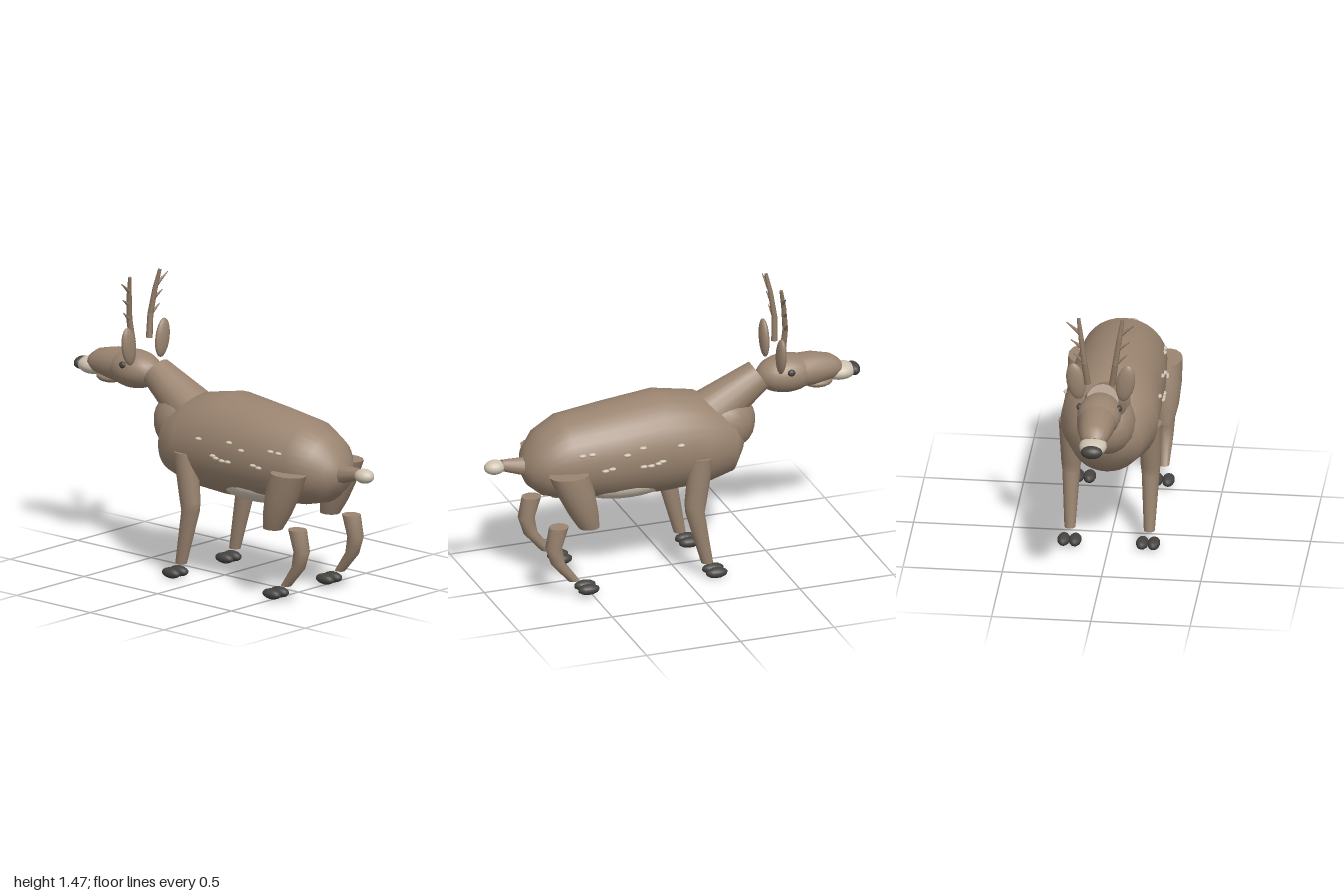
import * as THREE from 'three';

const mat = (name, color, opts = {}) => Object.assign(new THREE.MeshStandardMaterial({ color, ...opts }), { name });

// Stacked elliptical rings [y, z, rx, rz], lowest first, with flat end caps
function loft(rings, sides = 20) {
  const pos = [], idx = [];
  const addRing = ([y, z, rx, rz]) => {
    const start = pos.length / 3;
    for (let i = 0; i <= sides; i++) {
      const a = (i / sides) * Math.PI * 2;
      pos.push(Math.sin(a) * rx, y, z + Math.cos(a) * rz);
    }
    return start;
  };
  const starts = rings.map(addRing);
  for (let r = 0; r < rings.length - 1; r++) {
    for (let i = 0; i < sides; i++) {
      const a = starts[r] + i, b = starts[r + 1] + i;
      idx.push(a, a + 1, b, a + 1, b + 1, b);
    }
  }
  for (const top of [false, true]) {
    const ring = top ? rings[rings.length - 1] : rings[0];
    const s = addRing(ring), c = pos.length / 3;
    pos.push(0, ring[0], ring[1]);
    for (let i = 0; i < sides; i++) top ? idx.push(c, s + i, s + i + 1) : idx.push(c, s + i + 1, s + i);
  }
  const g = new THREE.BufferGeometry();
  g.setAttribute('position', new THREE.Float32BufferAttribute(pos, 3));
  g.setIndex(idx);
  g.computeVertexNormals();
  // Weld the shading across the seam
  const n = g.attributes.normal;
  for (const s of starts) {
    const v = new THREE.Vector3().fromBufferAttribute(n, s)
      .add(new THREE.Vector3().fromBufferAttribute(n, s + sides)).normalize();
    n.setXYZ(s, v.x, v.y, v.z);
    n.setXYZ(s + sides, v.x, v.y, v.z);
  }
  return g;
}

// Loft lying along z from profile rows [z, top, bottom, rx]
const loftZ = (rows, sides) =>
  loft(rows.map(([z, t, b, rx]) => [z, -(t + b) / 2, rx, (t - b) / 2]), sides).rotateX(Math.PI / 2);

export function createModel() {
  const model = new THREE.Group();
  model.name = 'deer';
  const fur = mat('brown fur', 0x9a8470);
  const cream = mat('cream fur', 0xcfc3b1);
  const dark = mat('dark horn', 0x454340);
  const antlerMat = mat('antler brown', 0x8f7964);

  const add = (name, geo, material, parent = model) => {
    const m = new THREE.Mesh(geo, material);
    m.name = name;
    parent.add(m);
    return m;
  };
  const ball = (name, material, [x, y, z], [rx, ry, rz], parent = model, seg = 16) => {
    const m = add(name, new THREE.SphereGeometry(1, seg, Math.ceil(seg * 0.7)), material, parent);
    m.position.set(x, y, z);
    m.scale.set(rx, ry, rz);
    return m;
  };
  const rod = (name, material, from, to, r0, r1, sides, parent = model) => {
    const a = new THREE.Vector3(...from), b = new THREE.Vector3(...to);
    const m = add(name, new THREE.CylinderGeometry(r1, r0, a.distanceTo(b), sides), material, parent);
    m.position.copy(a).lerp(b, 0.5);
    m.quaternion.setFromUnitVectors(new THREE.Vector3(0, 1, 0), b.sub(a).normalize());
    return m;
  };

  // Torso, from chest to rump
  const torso = [
    [-0.36, 0.74, 0.62, 0.06], [-0.345, 0.78, 0.58, 0.11], [-0.29, 0.84, 0.49, 0.18],
    [-0.14, 0.925, 0.455, 0.245], [0.08, 0.97, 0.44, 0.24], [0.35, 0.94, 0.455, 0.235],
    [0.59, 0.91, 0.48, 0.215], [0.71, 0.845, 0.51, 0.175], [0.775, 0.765, 0.565, 0.11],
    [0.8, 0.7, 0.62, 0.045],
  ];
  add('torso', loftZ(torso, 32), fur);
  ball('belly', cream, [0, 0.54, 0.26], [0.18, 0.1, 0.3], model, 24);
  ball('chest', fur, [0, 0.755, -0.27], [0.15, 0.16, 0.168], model, 18);

  // Neck and head
  rod('neck', fur, [0, 0.79, -0.17], [0, 0.976, -0.463], 0.132, 0.082, 16);
  ball('skull', fur, [0, 0.967, -0.61], [0.11, 0.098, 0.16], model, 20);
  add('snout', loftZ([
    [-0.9, 0.985, 0.93, 0.035], [-0.885, 1.005, 0.92, 0.055], [-0.85, 1.03, 0.905, 0.073],
    [-0.75, 1.055, 0.885, 0.09], [-0.62, 1.055, 0.885, 0.098],
  ], 16), fur);
  ball('jaw', fur, [0, 0.895, -0.78], [0.06, 0.028, 0.075]);
  ball('muzzle', cream, [0, 0.935, -0.895], [0.07, 0.045, 0.085]);
  ball('nose', dark, [0, 0.935, -0.965], [0.055, 0.033, 0.035]);

  // Tail
  rod('tail', fur, [0, 0.655, 0.72], [0, 0.69, 0.91], 0.06, 0.03, 8);
  ball('tailTip', cream, [0, 0.685, 0.945], [0.044, 0.037, 0.055]);

  // Surface half-width of the torso at a given point
  const sideX = (y, z) => {
    const i = torso.findIndex((r) => r[0] >= z);
    const t = (z - torso[i - 1][0]) / (torso[i][0] - torso[i - 1][0]);
    const [, top, bot, rx] = torso[i].map((v, k) => THREE.MathUtils.lerp(torso[i - 1][k], v, t));
    return rx * Math.sqrt(1 - ((y - (top + bot) / 2) / ((top - bot) / 2)) ** 2);
  };
  const spots = [
    [0.55, 0.77], [0.5, 0.772], [0.32, 0.75], [0.235, 0.775], [0.035, 0.762], [0.435, 0.68],
    [0.4, 0.687], [0.235, 0.677], [0.195, 0.676], [0.155, 0.683], [0.135, 0.692],
  ];

  const thigh = loft([
    [0.38, 0.518, 0.045, 0.054], [0.46, 0.547, 0.066, 0.077],
    [0.57, 0.585, 0.077, 0.097], [0.68, 0.625, 0.075, 0.104],
  ], 14);
  const hindShin = loft([
    [0.095, 0.597, 0.024, 0.028], [0.2, 0.68, 0.034, 0.037], [0.29, 0.703, 0.041, 0.043],
    [0.4, 0.675, 0.045, 0.05],
  ], 14);
  const foreLeg = loft([
    [0.085, -0.115, 0.028, 0.031], [0.37, -0.05, 0.045, 0.05], [0.42, -0.053, 0.05, 0.056],
    [0.67, -0.085, 0.06, 0.064],
  ], 14);

  for (const s of [1, -1]) {
    const side = new THREE.Group();
    side.name = s > 0 ? 'plusSide' : 'minusSide';
    model.add(side);

    // Legs and cloven hooves
    add('thigh', thigh, fur, side).position.x = s * 0.212;
    add('hindShin', hindShin, fur, side).position.x = s * 0.2;
    add('foreLeg', foreLeg, fur, side).position.x = s * 0.2;
    for (const dx of [-0.029, 0.029]) {
      ball('hindHoof', dark, [s * 0.198 + dx, 0.045, 0.525], [0.032, 0.027, 0.057], side, 12);
      ball('foreHoof', dark, [s * 0.198 + dx, 0.032, -0.157], [0.032, 0.027, 0.057], side, 12);
    }

    // Flank spots
    for (const [z, y] of spots) ball('spot', cream, [s * sideX(y, z), y, z], [0.014, 0.009, 0.021], side, 8);

    // Ear and eye
    ball('ear', fur, [s * 0.125, 1.115, -0.538], [0.047, 0.1, 0.024], side).rotation.z = -s * 0.16;
    ball('eye', dark, [s * 0.1, 1.004, -0.603], [0.014, 0.018, 0.02], side, 12);

    // Antler beam and tines
    const beam = [[0.062, 1.12, -0.57], [0.078, 1.24, -0.577], [0.096, 1.37, -0.562], [0.111, 1.47, -0.543]];
    const radii = [0.017, 0.015, 0.013, 0.009];
    for (let i = 0; i < 3; i++) {
      const [a, b] = [beam[i], beam[i + 1]].map(([x, y, z]) => [s * x, y, z]);
      rod('antlerBeam', antlerMat, a, b, radii[i], radii[i + 1], 8, side);
    }
    const tines = [[0.08, 1.24, 0.135, 1.287, -0.575], [0.091, 1.32, 0.148, 1.357, -0.568], [0.104, 1.395, 0.172, 1.447, -0.555]];
    for (const [x0, y0, x1, y1, z] of tines) {
      rod('tine', antlerMat, [s * x0, y0, z], [s * x1, y1, z + 0.01], 0.011, 0.002, 6, side);
    }
  }
  return model;
}
